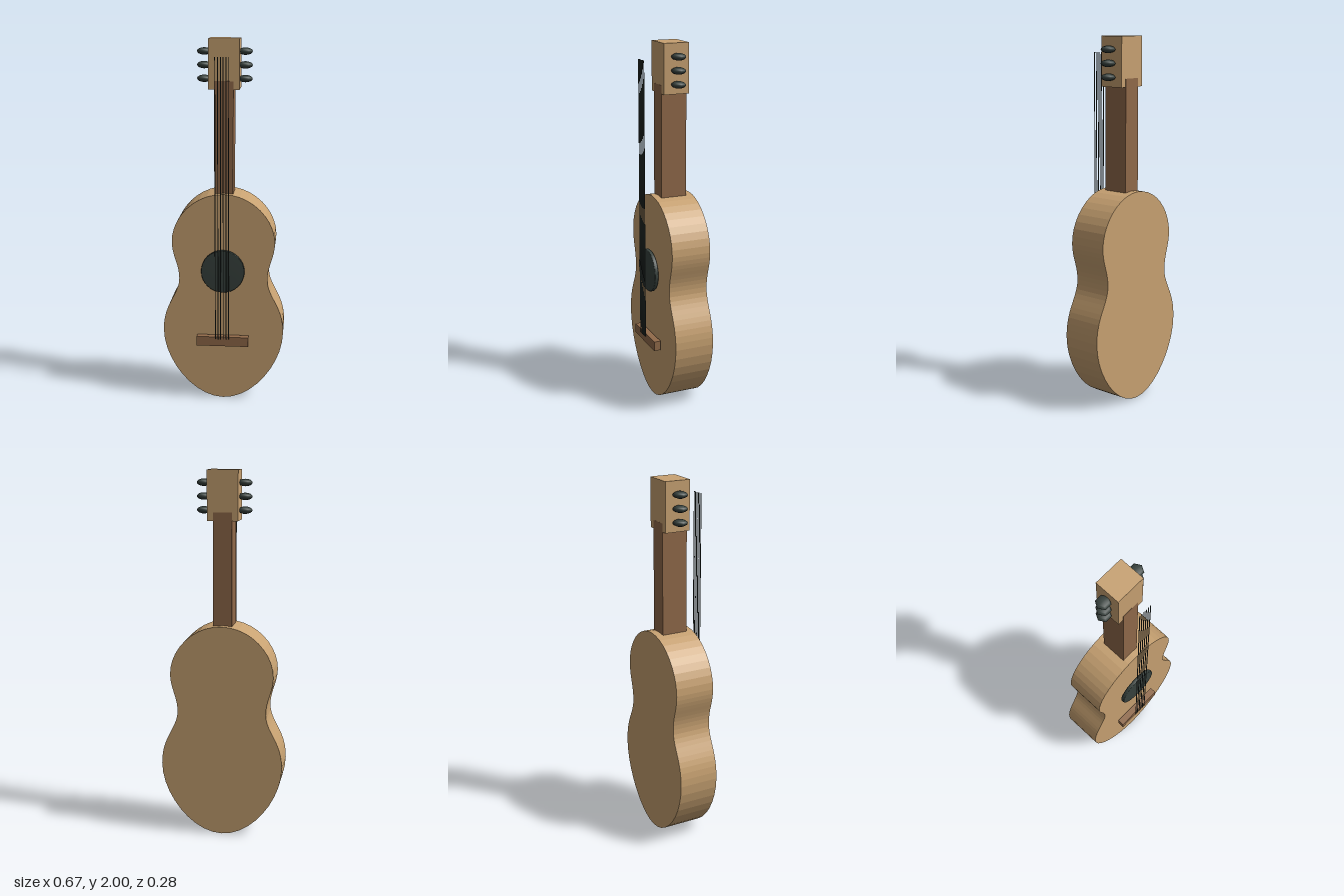
import * as THREE from 'three';

const paint = (name, color) => {
  const m = new THREE.MeshStandardMaterial({ color });
  m.name = name;
  return m;
};

export function createModel() {
  const guitar = new THREE.Group();
  guitar.name = 'guitar';
  const paleWood = paint('pale wood', 0xc8a272);
  const brownWood = paint('brown wood', 0x916a4a);
  const darkGrey = paint('dark grey', 0x38423e);

  const add = (name, geometry, material, x, y, z) => {
    const mesh = new THREE.Mesh(geometry, material);
    mesh.name = name;
    mesh.position.set(x, y, z);
    guitar.add(mesh);
    return mesh;
  };

  // Body: waisted outline, mirrored and extruded
  const right = [
    [0.16, 1.178, 0.282, 1.04, 0.282, 0.91],
    [0.282, 0.82, 0.232, 0.77, 0.245, 0.675],
    [0.262, 0.59, 0.333, 0.54, 0.333, 0.4],
    [0.333, 0.22, 0.17, 0.004, 0, 0.004],
  ];
  const outline = new THREE.Shape();
  outline.moveTo(0, 1.178);
  right.forEach((c) => outline.bezierCurveTo(...c));
  for (let i = 3; i >= 0; i--) {
    const [ax, ay, bx, by] = right[i];
    const [ex, ey] = i > 0 ? right[i - 1].slice(4) : [0, 1.178];
    outline.bezierCurveTo(-bx, by, -ax, ay, -ex, ey);
  }
  add('body', new THREE.ExtrudeGeometry(outline, { depth: 0.22, bevelEnabled: false, curveSegments: 10 }),
    paleWood, 0, 0, -0.14);

  // Neck and headstock
  add('neck', new THREE.BoxGeometry(0.102, 0.64, 0.143), brownWood, 0, 1.46, -0.028);
  add('headstock', new THREE.BoxGeometry(0.166, 0.265, 0.141), paleWood, 0, 1.8675, -0.028);

  // Sound hole disc with softened rims
  const rim = [[0, -0.011], [0.116, -0.011], [0.119, -0.007], [0.119, 0.007], [0.116, 0.011], [0, 0.011]];
  const disc = new THREE.LatheGeometry(rim.map(([x, y]) => new THREE.Vector2(x, y)), 32);
  add('soundHole', disc, darkGrey, 0, 0.753, 0.1).rotation.x = Math.PI / 2;

  // Bridge
  add('bridge', new THREE.BoxGeometry(0.286, 0.053, 0.038), brownWood, 0, 0.355, 0.108);

  // Strings
  const stringGeometry = new THREE.CylinderGeometry(0.0026, 0.0026, 1.54, 6);
  for (let i = 0; i < 6; i++) {
    add('string', stringGeometry, darkGrey, -0.038 + i * 0.0145, 1.142, 0.135);
  }

  // Tuning pegs: flattened six-sided knobs
  const pegGeometry = new THREE.SphereGeometry(0.039, 6, 8).scale(1, 0.5, 1);
  for (const side of [-1, 1]) {
    for (const y of [1.788, 1.86, 1.932]) {
      add(side > 0 ? 'leftPeg' : 'rightPeg', pegGeometry, darkGrey, side * 0.11, y, -0.028);
    }
  }
  return guitar;
}
